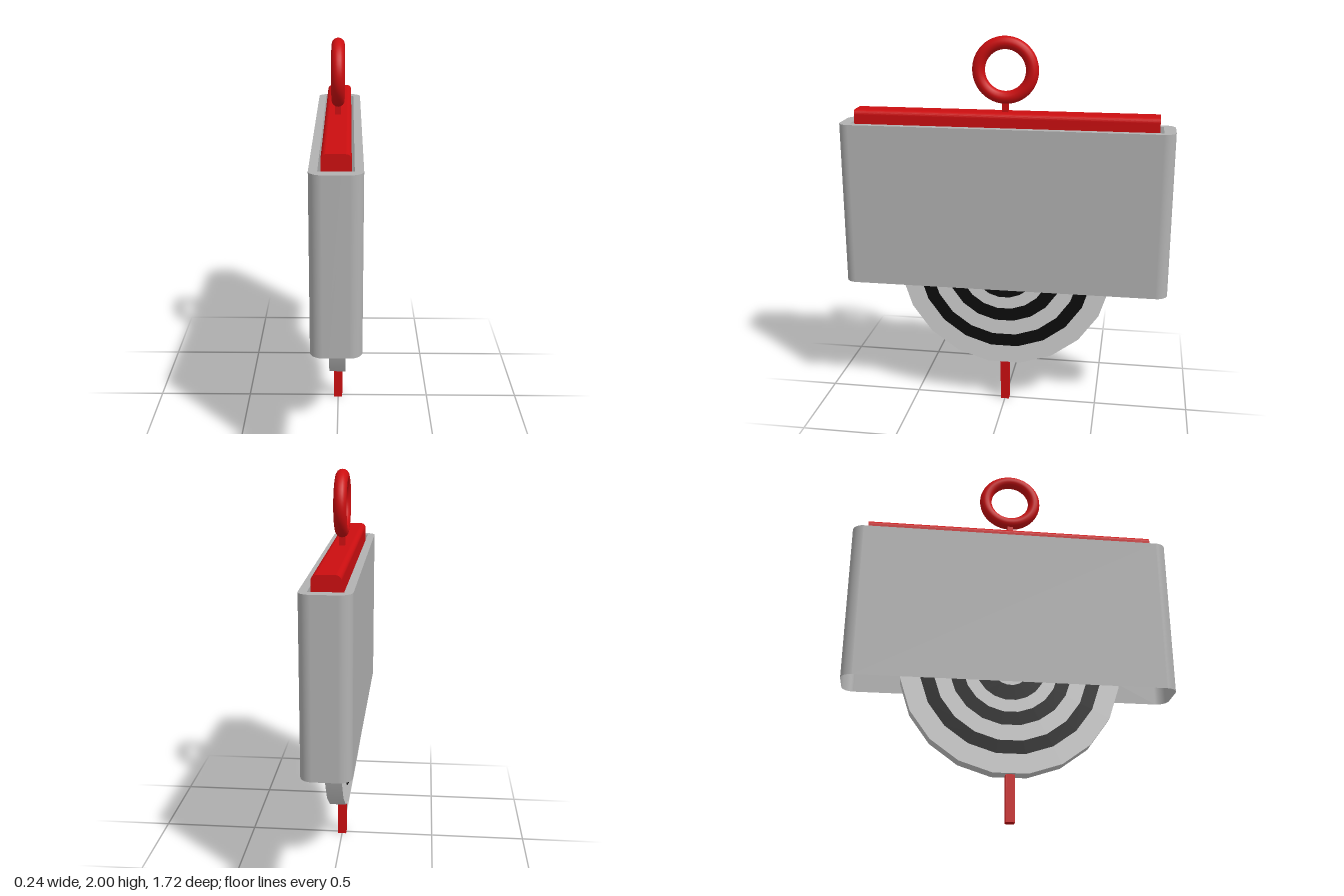
import * as THREE from 'three';

const mat = (name, color, side = THREE.FrontSide) => {
  const m = new THREE.MeshStandardMaterial({ color, side });
  m.name = name;
  return m;
};

// Rounded rectangle outline, counter-clockwise
function roundedRect(hw, hh, r) {
  const s = new THREE.Shape();
  s.moveTo(-hw + r, -hh);
  s.lineTo(hw - r, -hh);
  s.absarc(hw - r, -hh + r, r, -Math.PI / 2, 0, false);
  s.lineTo(hw, hh - r);
  s.absarc(hw - r, hh - r, r, 0, Math.PI / 2, false);
  s.lineTo(-hw + r, hh);
  s.absarc(-hw + r, hh - r, r, Math.PI / 2, Math.PI, false);
  s.lineTo(-hw, -hh + r);
  s.absarc(-hw + r, -hh + r, r, Math.PI, Math.PI * 1.5, false);
  return s;
}

// Open vertical wall following an outline, with smooth normals
function wallGeometry(shape, y0, y1) {
  const raw = shape.getPoints(8);
  const pts = raw.filter((p, i) => p.distanceTo(raw[(i + 1) % raw.length]) > 1e-5);
  const pos = [], idx = [], n = pts.length;
  pts.forEach((p, i) => {
    pos.push(p.x, y0, -p.y, p.x, y1, -p.y);
    const a = 2 * i, b = 2 * ((i + 1) % n);
    idx.push(a, b, b + 1, a, b + 1, a + 1);
  });
  const g = new THREE.BufferGeometry();
  g.setAttribute('position', new THREE.Float32BufferAttribute(pos, 3));
  g.setIndex(idx);
  g.computeVertexNormals();
  return g;
}

export function createModel() {
  const model = new THREE.Group();
  model.name = 'hangingTarget';
  const grey = mat('sleeveGrey', 0xb2b2b2, THREE.DoubleSide);
  const pale = mat('discPaleGrey', 0xd0d0d0);
  const black = mat('ringBlack', 0x0c0c0c);
  const red = mat('red', 0xcc0e10);

  const add = (name, geometry, material, x = 0, y = 0, z = 0, parent = model) => {
    const m = new THREE.Mesh(geometry, material);
    m.name = name;
    m.position.set(x, y, z);
    parent.add(m);
    return m;
  };

  // Sleeve: open shell with a flat rim on top
  const sleeve = new THREE.Group();
  sleeve.name = 'sleeve';
  model.add(sleeve);
  const outline = roundedRect(0.12, 0.86, 0.06);
  add('sleeveWall', wallGeometry(outline, 0.69, 1.55), grey, 0, 0, 0, sleeve);
  const rim = roundedRect(0.12, 0.86, 0.06);
  rim.holes.push(new THREE.Path([
    new THREE.Vector2(-0.08, -0.8), new THREE.Vector2(-0.08, 0.8),
    new THREE.Vector2(0.08, 0.8), new THREE.Vector2(0.08, -0.8),
  ]));
  add('sleeveRim', new THREE.ShapeGeometry(rim, 8).rotateX(-Math.PI / 2), grey, 0, 1.55, 0, sleeve);

  // Top bar with softened upper edges
  const w = 0.067, r = 0.025;
  const profile = new THREE.Shape();
  profile.moveTo(-w, 1.49);
  profile.lineTo(w, 1.49);
  profile.lineTo(w, 1.62 - r);
  profile.absarc(w - r, 1.62 - r, r, 0, Math.PI / 2, false);
  profile.lineTo(-w + r, 1.62);
  profile.absarc(-w + r, 1.62 - r, r, Math.PI / 2, Math.PI, false);
  add('topBar', new THREE.ExtrudeGeometry(profile, { depth: 1.56, bevelEnabled: false, curveSegments: 6 }), red, 0, 0, -0.78);

  // Pull ring and its stem
  add('ringStem', new THREE.BoxGeometry(0.03, 0.1, 0.03), red, 0, 1.64, 0);
  add('pullRing', new THREE.TorusGeometry(0.137, 0.033, 16, 48).rotateY(Math.PI / 2), red, 0, 1.83, 0);

  // Square rod running from the bar through the disc
  add('rod', new THREE.BoxGeometry(0.046, 1.5, 0.046), red, 0, 0.75, 0);

  // Twenty-sided target disc with black rings on both faces
  const disc = new THREE.Group();
  disc.name = 'targetDisc';
  disc.position.y = 0.8;
  model.add(disc);
  const half = 0.042, turn = Math.PI / 20;
  add('discBody', new THREE.CylinderGeometry(0.57, 0.57, half * 2, 20, 1, false, turn).rotateZ(Math.PI / 2), pale, 0, 0, 0, disc);
  for (const side of [-1, 1]) {
    for (const [inner, outer] of [[0.1, 0.182], [0.247, 0.318], [0.4, 0.47]]) {
      const ring = new THREE.RingGeometry(inner, outer, 20, 1, turn).rotateY(side * Math.PI / 2);
      add('blackRing', ring, black, side * (half + 0.002), 0, 0, disc);
    }
  }
  return model;
}
